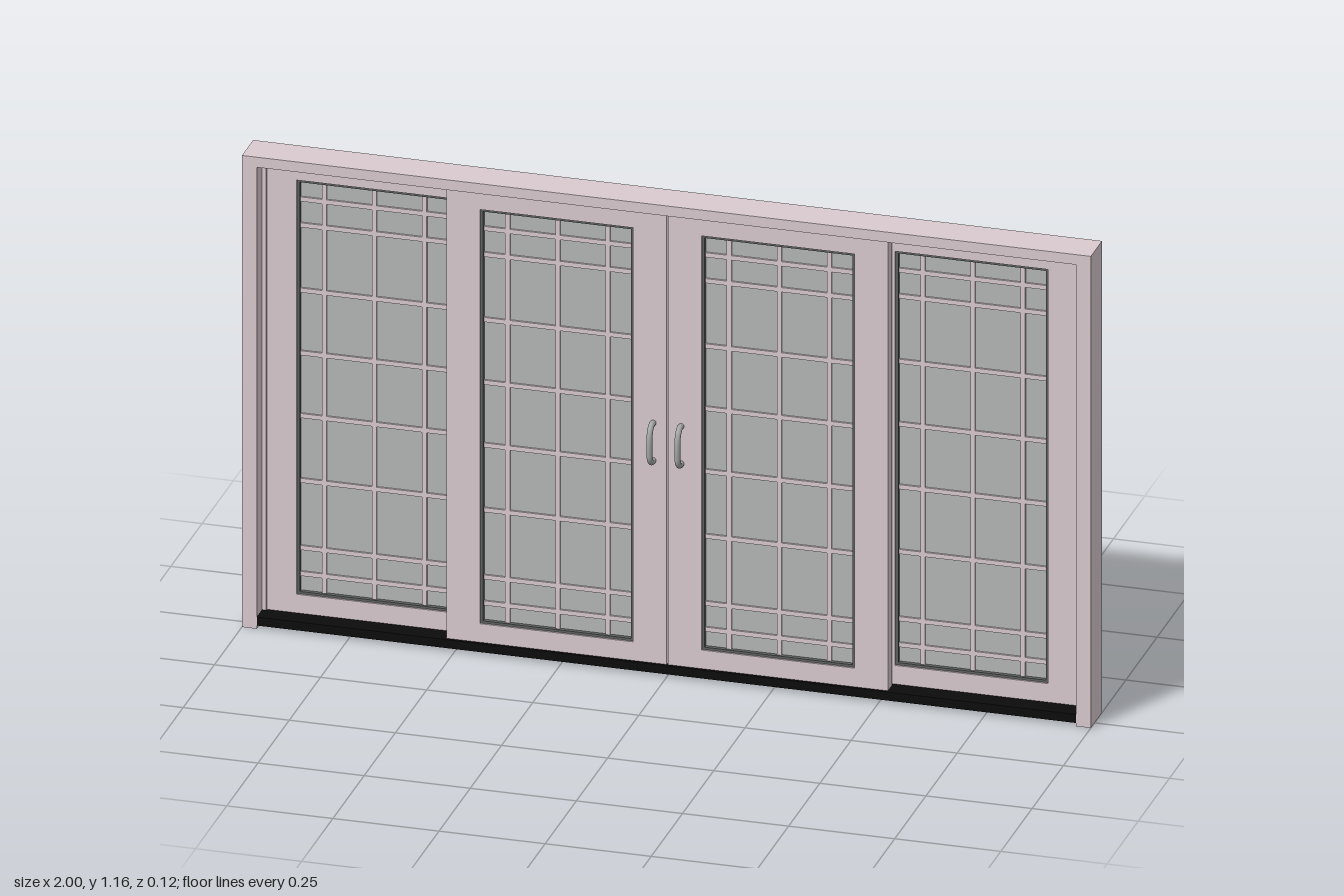
import * as THREE from 'three';

const paint = (color) => new THREE.MeshStandardMaterial({ color });
const FRAME = paint(0xd9cace);
const GLASS = paint(0xb4b6b6);
const BEAD = paint(0x5c605e);
const BLACK = paint(0x0c0c0c);
const METAL = paint(0xa4a8a6);

function add(parent, name, geometry, material, x = 0, y = 0, z = 0) {
  const mesh = new THREE.Mesh(geometry, material);
  mesh.name = name;
  mesh.position.set(x, y, z);
  parent.add(mesh);
  return mesh;
}

// box given by its limits on each axis
function block(parent, name, material, [x0, x1], [y0, y1], [z0, z1]) {
  return add(parent, name, new THREE.BoxGeometry(x1 - x0, y1 - y0, z1 - z0), material,
    (x0 + x1) / 2, (y0 + y1) / 2, (z0 + z1) / 2);
}

function rect(PathType, x0, y0, x1, y1) {
  const p = new PathType();
  p.moveTo(x0, y0);
  p.lineTo(x1, y0);
  p.lineTo(x1, y1);
  p.lineTo(x0, y1);
  p.closePath();
  return p;
}

// rectangular ring of given border, centred on its own depth
function ring(w, h, bx, byBottom, byTop, depth) {
  const shape = rect(THREE.Shape, -w / 2, 0, w / 2, h);
  shape.holes.push(rect(THREE.Path, -w / 2 + bx, byBottom, w / 2 - bx, h - byTop));
  const g = new THREE.ExtrudeGeometry(shape, { depth, bevelEnabled: false });
  return g.translate(0, 0, -depth / 2);
}

const PANEL_W = 0.518, PANEL_H = 1.112, PANEL_D = 0.034;
const OPEN_W = 0.36, OPEN_BOTTOM = 0.047, OPEN_TOP = 1.07;

// one glazed sash with its lattice of glazing bars
function makePanel(name) {
  const panel = new THREE.Group();
  panel.name = name;
  const openH = OPEN_TOP - OPEN_BOTTOM;
  add(panel, 'sash', ring(PANEL_W, PANEL_H, (PANEL_W - OPEN_W) / 2, OPEN_BOTTOM, PANEL_H - OPEN_TOP, PANEL_D), FRAME);
  add(panel, 'glazingBead', ring(OPEN_W, openH, 0.006, 0.006, 0.006, 0.026), BEAD, 0, OPEN_BOTTOM, 0);
  add(panel, 'glass', new THREE.BoxGeometry(OPEN_W, openH, 0.006), GLASS, 0, OPEN_BOTTOM + openH / 2, 0);
  for (const x of [-0.118, 0, 0.118]) {
    add(panel, 'verticalBar', new THREE.BoxGeometry(0.011, openH - 0.01, 0.016), FRAME, x, OPEN_BOTTOM + openH / 2, 0);
  }
  for (const y of [0.123, 0.187, 0.353, 0.513, 0.668, 0.823, 0.984, 1.048]) {
    add(panel, 'horizontalBar', new THREE.BoxGeometry(OPEN_W - 0.01, 0.011, 0.0155), FRAME, 0, y - 0.028, 0);
  }
  return panel;
}

// bow handle bent outward from the sash
function makeHandle() {
  const path = new THREE.CatmullRomCurve3([
    [0.53, 0.02], [0.53, 0.036], [0.542, 0.049], [0.56, 0.053],
    [0.595, 0.053], [0.612, 0.048], [0.622, 0.036], [0.622, 0.02],
  ].map(([y, z]) => new THREE.Vector3(0, y, z)));
  return new THREE.TubeGeometry(path, 32, 0.007, 12);
}

export function createModel() {
  const model = new THREE.Group();
  model.name = 'slidingDoor';

  // head and hollow jambs
  block(model, 'head', FRAME, [-0.965, 0.965], [1.14, 1.165], [-0.06, 0.03]);
  for (const s of [-1, 1]) {
    const profile = rect(THREE.Shape, -0.0175, -0.03, 0.0175, 0.06);
    for (const v of [-0.024, 0.004, 0.032]) {
      profile.holes.push(rect(THREE.Path, -0.012, v, 0.012, v + 0.022));
    }
    const jamb = new THREE.ExtrudeGeometry(profile, { depth: 1.164, bevelEnabled: false }).rotateX(-Math.PI / 2);
    add(model, 'jamb', jamb, FRAME, s * 0.9825, 0, 0);
    block(model, 'jambCap', FRAME, [s * 0.9825 - 0.0175, s * 0.9825 + 0.0175], [1.14, 1.165], [-0.06, 0.03]);
    block(model, 'jambStop', FRAME, [s * 0.96 - 0.005, s * 0.96 + 0.005], [0.03, 1.14], [-0.017, -0.011]);
  }

  // sill with ribs underneath
  block(model, 'sill', BLACK, [-0.965, 0.965], [0.016, 0.029], [-0.06, 0.03]);
  for (const z of [-0.057, -0.036, -0.015, 0.006, 0.027]) {
    block(model, 'sillRib', BLACK, [-0.965, 0.965], [0.008, 0.016], [z - 0.003, z + 0.003]);
  }

  // outer panels run in the rear track, middle panels in the front one
  for (const s of [-1, 1]) {
    const side = s > 0 ? 'left' : 'right';
    const outer = makePanel(side + 'OuterPanel');
    outer.position.set(s * 0.705, 0.028, -0.035);
    const middle = makePanel(side + 'MiddlePanel');
    middle.position.set(s * 0.261, 0.028, 0.006);
    model.add(outer, middle);
    add(model, side + 'Handle', makeHandle(), METAL, s * 0.033, 0, 0);
  }
  // strip closing the joint between the two middle panels
  block(model, 'meetingStrip', FRAME, [-0.004, 0.004], [0.03, 1.139], [-0.008, 0.018]);

  return model;
}
